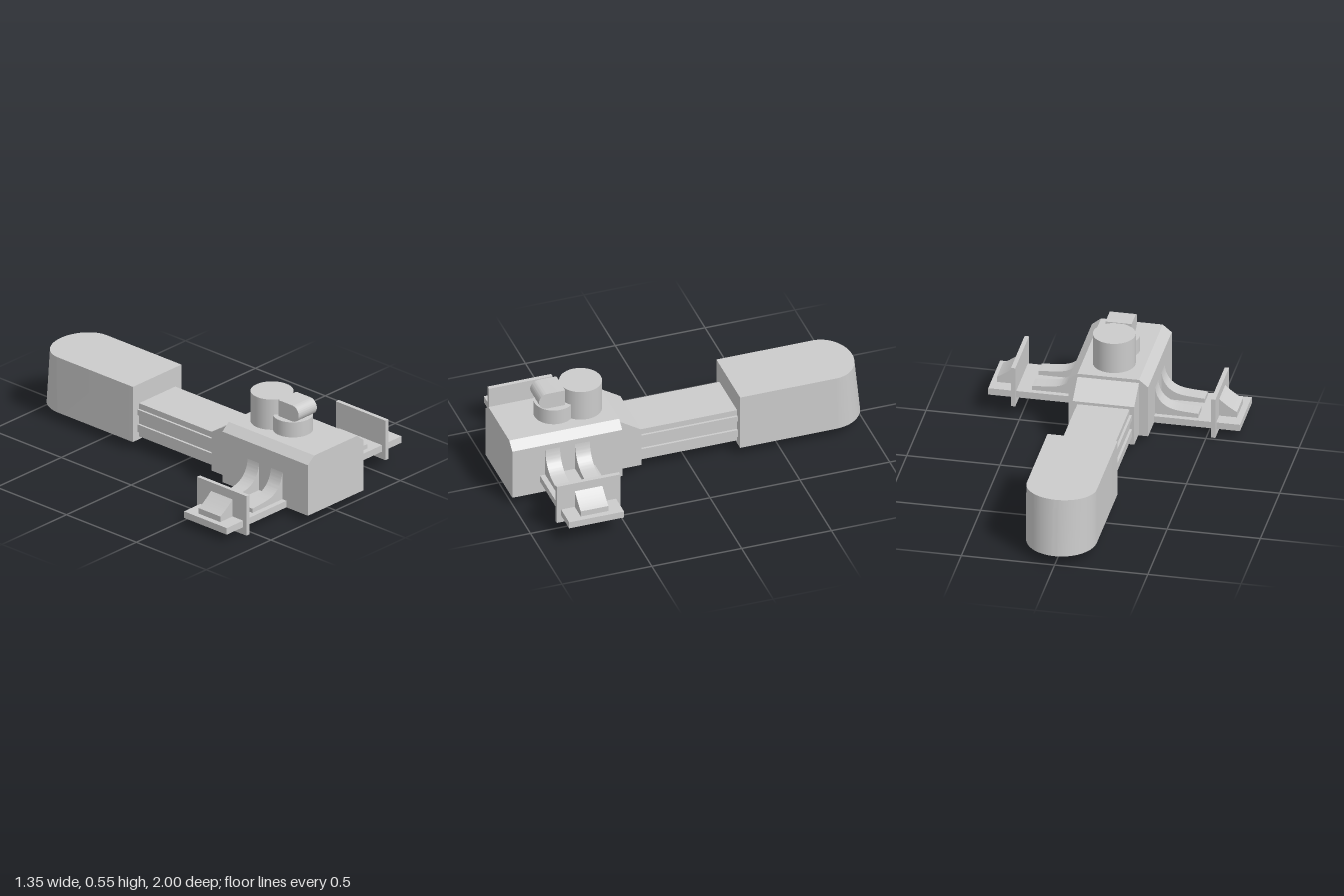
import * as THREE from 'three';
import { toCreasedNormals } from 'three/addons/utils/BufferGeometryUtils.js';

const material = new THREE.MeshStandardMaterial({ color: 0xcccccc });

function add(parent, name, geometry) {
  const mesh = new THREE.Mesh(geometry, material);
  mesh.name = name;
  parent.add(mesh);
  return mesh;
}

// Box given by its extents on each axis
function box(x0, x1, y0, y1, z0, z1) {
  return new THREE.BoxGeometry(x1 - x0, y1 - y0, z1 - z0)
    .translate((x0 + x1) / 2, (y0 + y1) / 2, (z0 + z1) / 2);
}

// Shape in the xy plane, extruded from z0 to z1
function extrude(shape, z0, z1) {
  const g = new THREE.ExtrudeGeometry(shape, { depth: z1 - z0, bevelEnabled: false, curveSegments: 24 });
  return toCreasedNormals(g.translate(0, 0, z0), 0.5);
}

// Shape drawn as (z, y), extruded across x
function extrudeAcross(shape, halfWidth) {
  return extrude(shape, -halfWidth, halfWidth).rotateY(-Math.PI / 2);
}

function polygon(points) {
  return new THREE.Shape(points.map(([x, y]) => new THREE.Vector2(x, y)));
}

// Side wing pointing to +x, centred on z = 0
function createWing(name) {
  const wing = new THREE.Group();
  wing.name = name;
  add(wing, 'wingPlate', box(0.2, 0.675, 0.11, 0.148, -0.153, 0.153));
  add(wing, 'endPlate', box(0.525, 0.548, 0.068, 0.297, -0.177, 0.177));

  // Wedge outside the end plate
  const wedge = new THREE.Shape();
  wedge.moveTo(0.548, 0.147);
  wedge.lineTo(0.643, 0.147);
  wedge.lineTo(0.643, 0.18);
  wedge.quadraticCurveTo(0.6, 0.202, 0.548, 0.247);
  add(wing, 'endWedge', extrude(wedge, -0.077, 0.077));

  // Pair of curved braces between body and plate
  const brace = new THREE.Shape();
  brace.moveTo(0.2, 0.147);
  brace.lineTo(0.445, 0.147);
  brace.lineTo(0.445, 0.172);
  brace.bezierCurveTo(0.4, 0.176, 0.34, 0.176, 0.3, 0.188);
  brace.bezierCurveTo(0.245, 0.208, 0.215, 0.25, 0.213, 0.32);
  brace.lineTo(0.2, 0.32);
  for (const z of [-0.083, 0.083]) add(wing, 'brace', extrude(brace, z - 0.041, z + 0.041));
  return wing;
}

export function createModel() {
  const model = new THREE.Group();
  model.name = 'model';

  // Front body with chamfered upper edges
  add(model, 'body', extrude(polygon([
    [-0.214, 0.042], [0.214, 0.042], [0.214, 0.335], [0.165, 0.375], [-0.165, 0.375], [-0.214, 0.335],
  ]), 0.388, 1));

  // Sloped collar behind the body
  add(model, 'collar', extrudeAcross(polygon([
    [0.265, 0.053], [0.4, 0.053], [0.4, 0.364], [0.265, 0.278],
  ]), 0.165));

  // Connecting beam with ribs along its sides
  add(model, 'beam', box(-0.14, 0.14, 0.07, 0.262, -0.29, 0.28));
  for (const [y0, y1] of [[0.198, 0.23], [0.1, 0.144]]) {
    add(model, 'beamRib', box(-0.153, 0.153, y0, y1, -0.29, 0.28));
  }

  // Rear pod with a round end that leans forward at the top
  const r = 0.188, zc = 0.812, y0 = 0.053, y1 = 0.373;
  const plan = new THREE.Shape();
  plan.moveTo(-r, 0.277);
  plan.lineTo(r, 0.277);
  plan.lineTo(r, zc);
  plan.absarc(0, zc, r, 0, Math.PI, false);
  const pod = new THREE.ExtrudeGeometry(plan, { depth: y1 - y0, bevelEnabled: false, curveSegments: 32 });
  const p = pod.attributes.position;
  for (let i = 0; i < p.count; i++) {
    const over = p.getY(i) - zc;
    if (over > 0 && p.getZ(i) > 0.1) p.setY(i, zc + over * 0.82);
  }
  pod.rotateX(-Math.PI / 2).translate(0, y0, 0);
  add(model, 'rearPod', toCreasedNormals(pod, 0.5));

  // Turret: tall drum, low drum and rounded head
  add(model, 'tallDrum', new THREE.CylinderGeometry(0.113, 0.113, 0.185, 48)).position.set(0, 0.4575, 0.545);
  add(model, 'lowDrum', new THREE.CylinderGeometry(0.106, 0.106, 0.1, 48)).position.set(0, 0.412, 0.695);
  const head = new THREE.Shape();
  head.moveTo(0.655, 0.462);
  head.lineTo(0.755, 0.462);
  head.absarc(0.755, 0.508, 0.046, -Math.PI / 2, Math.PI / 2, false);
  head.lineTo(0.655, 0.554);
  add(model, 'turretHead', extrudeAcross(head, 0.07));

  // Wings, the right one set lower than the left
  const left = createWing('leftWing');
  left.position.z = 0.693;
  const right = createWing('rightWing');
  right.position.set(0, -0.068, 0.693);
  right.rotation.y = Math.PI;
  model.add(left, right);

  return model;
}
